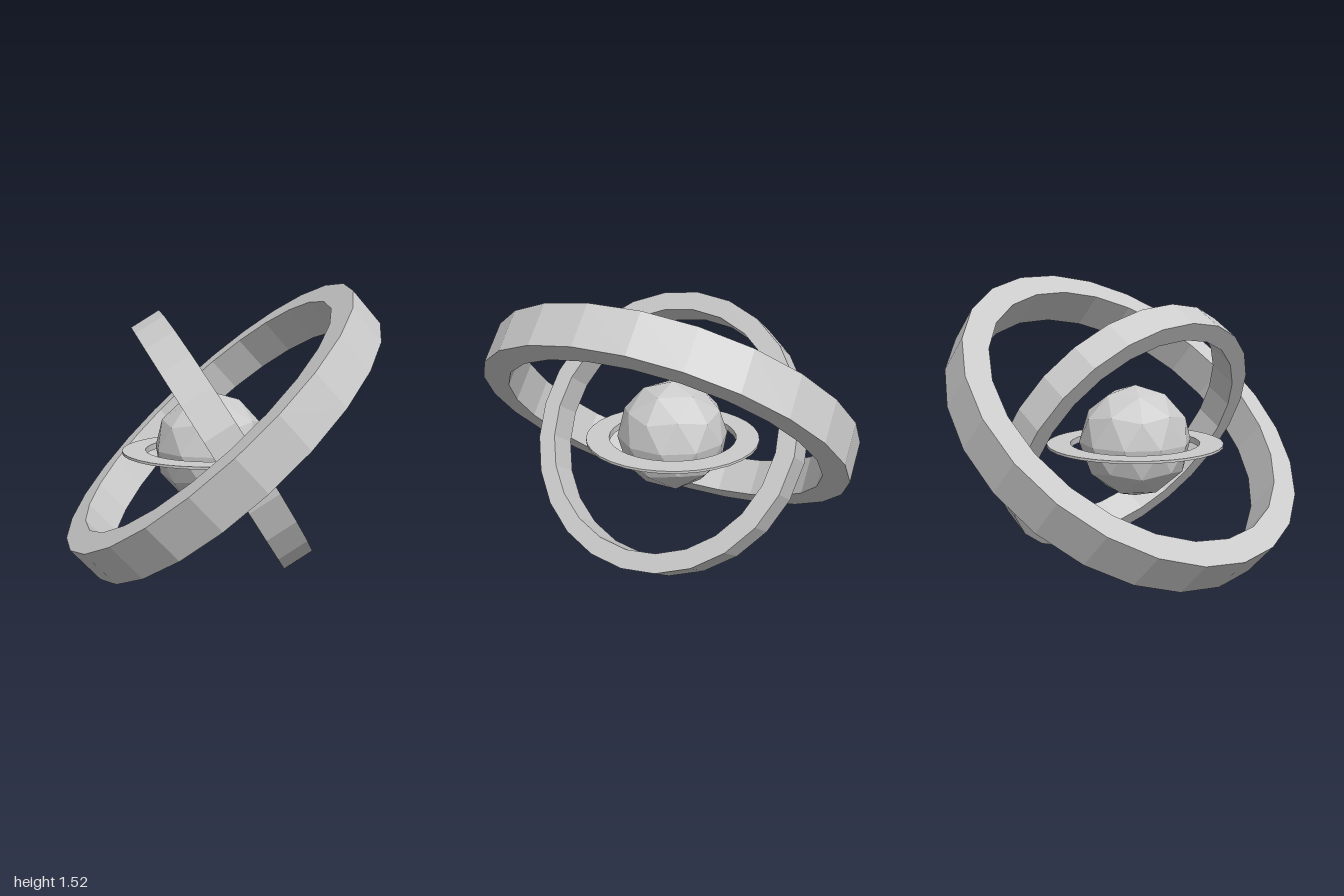
import * as THREE from 'three';

const material = new THREE.MeshStandardMaterial({ color: 0xcccccc, flatShading: true });

// Ring swept from a closed [radius, height] section, its axis turned to the given direction
function makeRing(name, section, sides, position, axis) {
  const points = [...section, section[0]].map(([r, y]) => new THREE.Vector2(r, y));
  const ring = new THREE.Mesh(new THREE.LatheGeometry(points, sides), material);
  ring.name = name;
  ring.position.set(...position);
  ring.quaternion.setFromUnitVectors(new THREE.Vector3(0, 1, 0), new THREE.Vector3(...axis).normalize());
  return ring;
}

// Rectangular band section
const band = (outer, inner, width) => [
  [outer, -width / 2], [outer, width / 2], [inner, width / 2], [inner, -width / 2],
];

export function createModel() {
  const model = new THREE.Group();
  model.name = 'ringedGlobe';

  // Faceted globe with a corner at each pole
  const globeGeometry = new THREE.IcosahedronGeometry(0.3, 1);
  globeGeometry.rotateZ(-Math.atan(2 / (1 + Math.sqrt(5))));
  const globe = new THREE.Mesh(globeGeometry, material);
  globe.name = 'globe';
  globe.position.set(-0.038, 0.66, 0);
  model.add(globe);

  // Thin level ring, its underside sloping up to a fine outer lip
  const disc = [[0.345, -0.018], [0.47, 0.003], [0.47, 0.016], [0.345, 0.016]];
  model.add(makeRing('planetRing', disc, 32, [-0.038, 0.635, 0], [0, 1, 0]));

  // Two tilted gimbal bands
  model.add(makeRing('outerGimbal', band(1, 0.86, 0.22), 24, [0.002, 0.772, 0], [-0.673, 0.739, 0.05]));
  model.add(makeRing('innerGimbal', band(0.76, 0.66, 0.17), 24, [0.022, 0.698, 0], [0.851, 0.525, 0]));

  return model;
}
